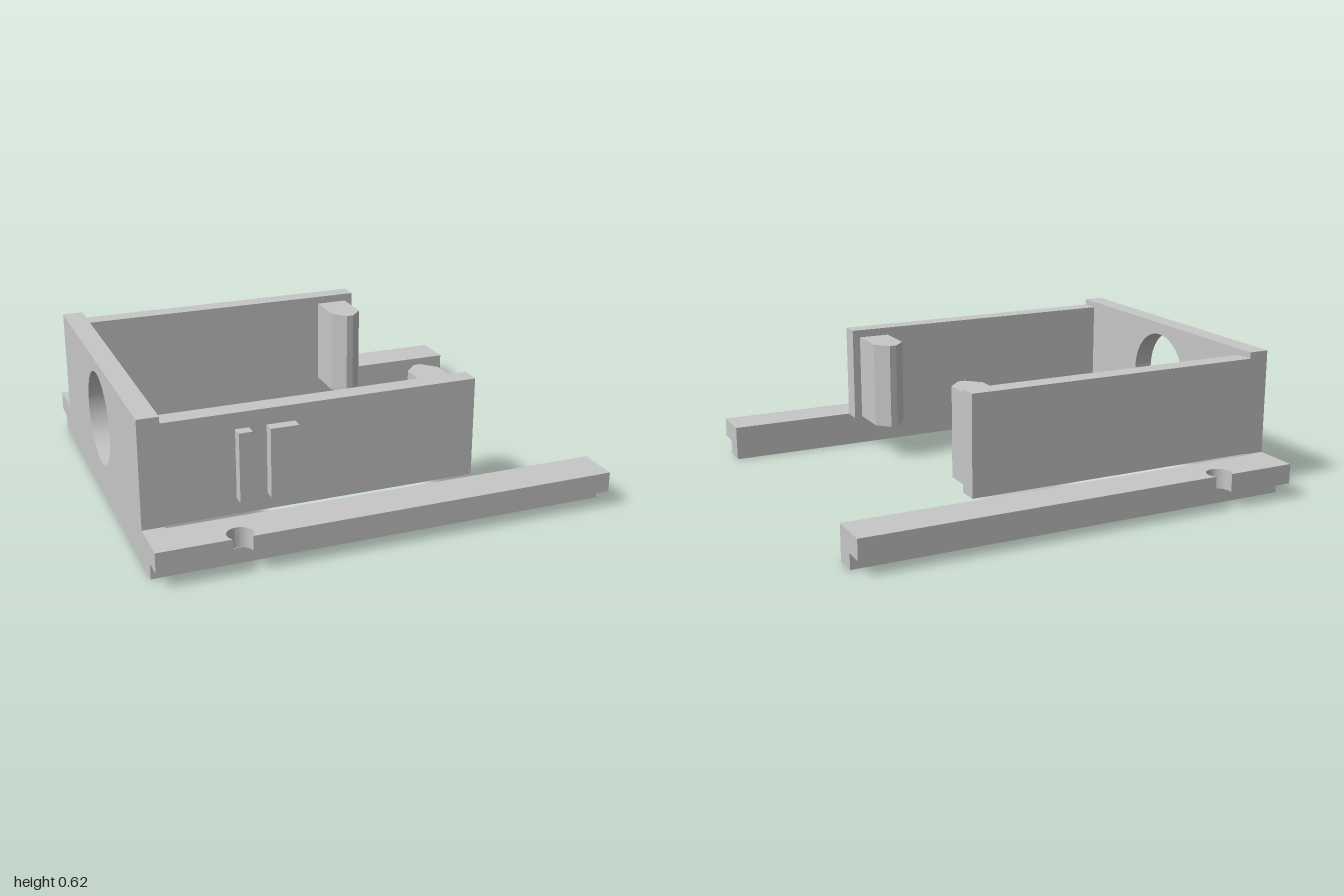
import * as THREE from 'three';
import { toCreasedNormals } from 'three/addons/utils/BufferGeometryUtils.js';

const grey = new THREE.MeshStandardMaterial({ color: 0xc7c7c7 });
grey.name = 'light grey plastic';

function part(name, geometry) {
  const mesh = new THREE.Mesh(geometry, grey);
  mesh.name = name;
  return mesh;
}

// Box given by its lower and upper limits on each axis
function box(name, x0, x1, y0, y1, z0, z1) {
  const g = new THREE.BoxGeometry(x1 - x0, y1 - y0, z1 - z0);
  g.translate((x0 + x1) / 2, (y0 + y1) / 2, (z0 + z1) / 2);
  return part(name, g);
}

function extrude(shape, depth) {
  return toCreasedNormals(
    new THREE.ExtrudeGeometry(shape, { depth, bevelEnabled: false, curveSegments: 48 }), 0.5);
}

// Upright prism from a plan outline of [x, z] points
function prism(name, points, y0, y1) {
  const shape = new THREE.Shape(points.map(([x, z]) => new THREE.Vector2(x, -z)));
  const g = extrude(shape, y1 - y0);
  g.rotateX(-Math.PI / 2);
  g.translate(0, y0, 0);
  return part(name, g);
}

// End plate with a wide foot and a round opening
function endPlate() {
  const half = [[0.717, 0], [0.717, 0.156], [0.703, 0.156], [0.703, 0.621]];
  const outline = [...half, ...half.map(([z, y]) => [-z, y]).reverse()];
  const shape = new THREE.Shape(outline.map(([z, y]) => new THREE.Vector2(z, y)));
  shape.holes.push(new THREE.Path().absarc(0, 0.361, 0.205, 0, Math.PI * 2, true));
  const g = extrude(shape, 0.091);
  g.rotateY(Math.PI / 2);
  g.translate(-1, 0, 0);
  return part('endPlate', g);
}

// Plan of the rail flange, with a round notch through its outer edge
function flangePlan(s) {
  const cx = -0.65, cz = 0.865, r = 0.055, outer = 0.902;
  const a = Math.asin((outer - cz) / r);
  const points = [[-1, 0.717], [1, 0.717], [1, outer]];
  const steps = 32;
  for (let i = 0; i <= steps; i++) {
    const t = a - (i / steps) * (Math.PI + 2 * a);
    points.push([cx + r * Math.cos(t), cz + r * Math.sin(t)]);
  }
  points.push([-1, outer]);
  return points.map(([x, z]) => [x, z * s]);
}

// Rail, side wall and pointed clip for one side (s = 1 front, -1 back)
function side(s) {
  const group = new THREE.Group();
  group.name = s > 0 ? 'frontSide' : 'backSide';
  const span = (a, b) => (s > 0 ? [a, b] : [-b, -a]);
  const clip = [[0.255, 0.617], [0.255, 0.435], [0.311, 0.375],
    [0.343, 0.375], [0.399, 0.435], [0.399, 0.617]];
  group.add(
    prism('railFlange', flangePlan(s), 0.068, 0.156),
    box('railFoot', -1, 1, 0, 0.068, ...span(0.717, 0.815)),
    box('sideWall', -0.909, 0.435, 0.159, 0.593, ...span(0.617, 0.703)),
    prism('clip', clip.map(([x, z]) => [x, z * s]), 0.165, 0.558)
  );
  return group;
}

export function createModel() {
  const model = new THREE.Group();
  model.name = 'bracketFrame';
  model.add(endPlate(), side(1), side(-1));
  // Raised pads on the outer face of the front wall
  model.add(
    box('narrowPad', -0.61, -0.553, 0.228, 0.524, 0.703, 0.751),
    box('widePad', -0.48, -0.361, 0.228, 0.524, 0.703, 0.751)
  );
  return model;
}
